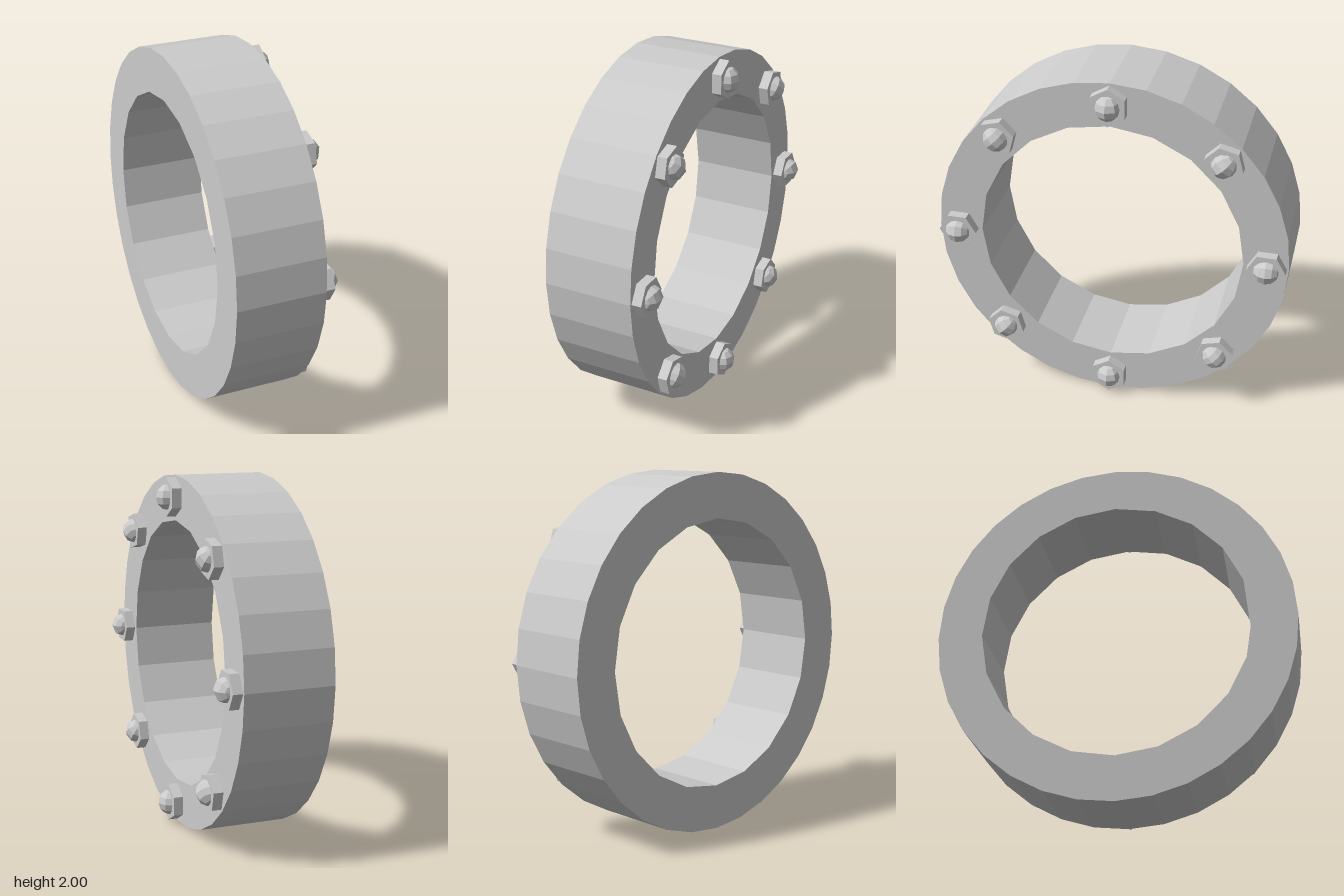
import * as THREE from 'three';

const material = new THREE.MeshStandardMaterial({ color: 0xcccccc, flatShading: true });

// Regular polygon outline with its first corner on the +y axis
function polygon(radius, sides) {
  return Array.from({ length: sides }, (_, i) => {
    const a = Math.PI / 2 + (i / sides) * Math.PI * 2;
    return new THREE.Vector2(Math.cos(a) * radius, Math.sin(a) * radius);
  });
}

function part(name, geometry) {
  const mesh = new THREE.Mesh(geometry, material);
  mesh.name = name;
  return mesh;
}

export function createModel() {
  const model = new THREE.Group();
  model.name = 'boltedRing';

  // Thick faceted ring, its axis along x
  const outline = new THREE.Shape(polygon(1, 32));
  outline.holes.push(new THREE.Path(polygon(0.75, 20)));
  const ringGeometry = new THREE.ExtrudeGeometry(outline, { depth: 0.5, bevelEnabled: false });
  ringGeometry.rotateY(Math.PI / 2).translate(-0.31, 0, 0);
  model.add(part('ring', ringGeometry));

  // Hexagonal nut with a corner pointing outward, and a rounded bolt end
  const nutGeometry = new THREE.CylinderGeometry(0.108, 0.108, 0.065, 6, 1, false, Math.PI / 2);
  nutGeometry.rotateZ(-Math.PI / 2).translate(0.2125, 0, 0);
  const domeGeometry = new THREE.SphereGeometry(0.073, 8, 6);
  domeGeometry.translate(0.232, 0, 0);

  // Eight bolts spaced evenly around the face
  for (let i = 0; i < 8; i++) {
    const bolt = new THREE.Group();
    bolt.name = 'bolt' + (i + 1);
    const a = (i * Math.PI) / 4;
    bolt.add(part('nut', nutGeometry), part('boltEnd', domeGeometry));
    bolt.rotation.x = a;
    bolt.position.set(0, Math.cos(a) * 0.88, Math.sin(a) * 0.88);
    model.add(bolt);
  }

  // Lift the ring so that it stands on the ground
  model.children.forEach((child) => { child.position.y += 1; });
  return model;
}
